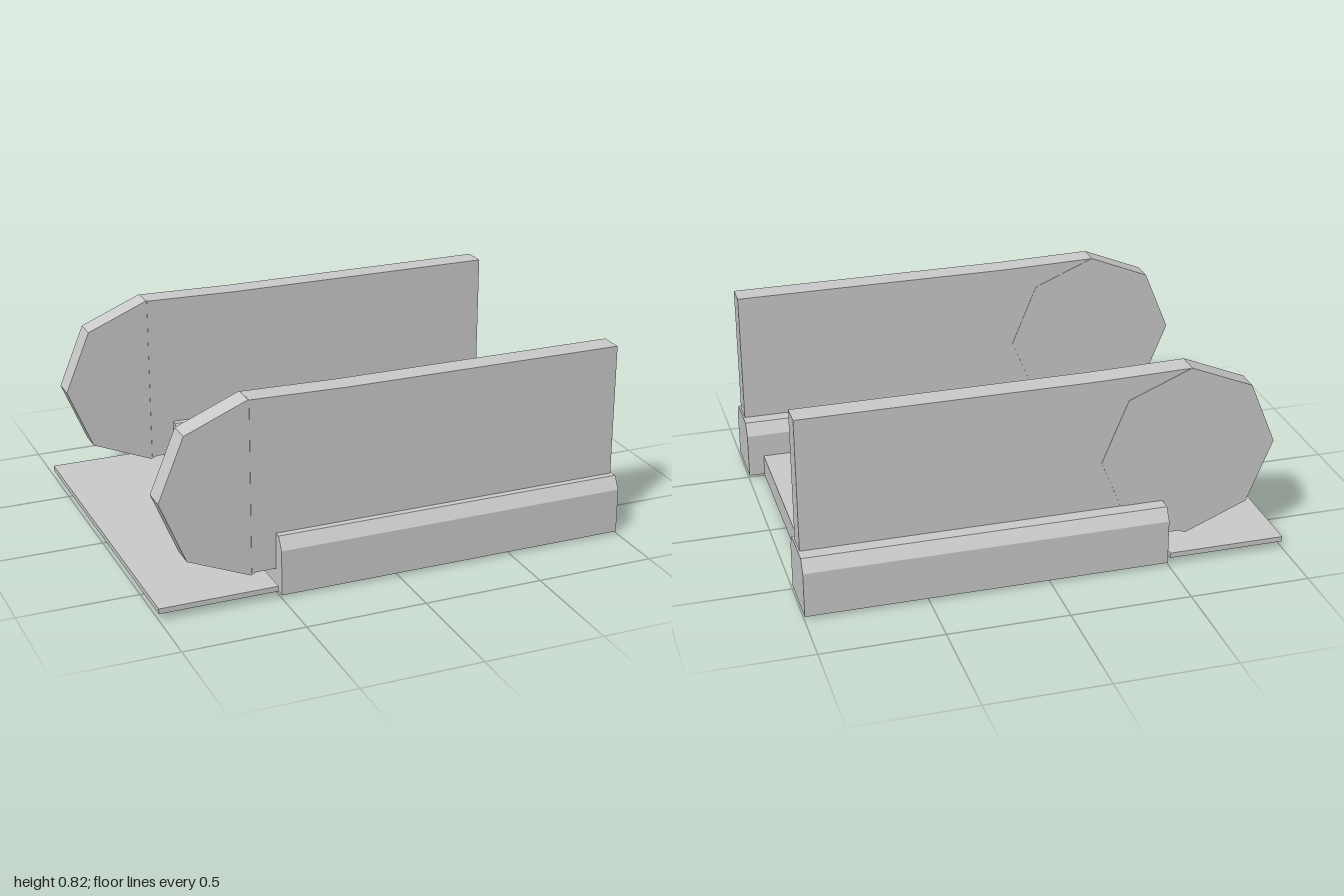
import * as THREE from 'three';

const material = new THREE.MeshStandardMaterial({ color: 0xcccccc, flatShading: true });

// Extrude an outline of [a, b] points along +z by depth
function prism(name, points, depth) {
  const shape = new THREE.Shape(points.map(([a, b]) => new THREE.Vector2(a, b)));
  const geometry = new THREE.ExtrudeGeometry(shape, { depth, bevelEnabled: false });
  const mesh = new THREE.Mesh(geometry, material);
  mesh.name = name;
  return mesh;
}

function box(name, x0, x1, y0, y1, z0, z1) {
  const mesh = new THREE.Mesh(new THREE.BoxGeometry(x1 - x0, y1 - y0, z1 - z0), material);
  mesh.position.set((x0 + x1) / 2, (y0 + y1) / 2, (z0 + z1) / 2);
  mesh.name = name;
  return mesh;
}

// One side: chamfered skirt, upright panel and its eight-sided rounded end
function createSide(name, z) {
  const side = new THREE.Group();
  side.name = name;

  const skirt = prism('skirt', [
    [-0.123, 0.01], [0.123, 0.01], [0.123, 0.2], [0.092, 0.252], [-0.092, 0.252], [-0.123, 0.2],
  ], 1.495);
  skirt.rotation.y = Math.PI / 2;
  skirt.position.set(-0.498, 0, 0);
  side.add(skirt);

  const panel = prism('panel', [
    [-0.6, 0.1], [0.99, 0.1], [0.99, 0.812], [-0.2, 0.815], [-0.6, 0.824],
  ], 0.098);
  panel.position.z = -0.034;
  side.add(panel);

  const end = new THREE.Mesh(new THREE.CylinderGeometry(0.368, 0.368, 0.098, 8), material);
  end.name = 'roundedEnd';
  end.rotation.x = Math.PI / 2;
  end.position.set(-0.603, 0.457, 0.013);
  side.add(end);

  side.position.z = z;
  return side;
}

export function createModel() {
  const model = new THREE.Group();
  model.name = 'walkway';

  // Upright sides share the same cross-section
  model.add(createSide('frontSide', 0.617), createSide('backSide', -0.617));

  // T-shaped landing plate, wide in front of the skirts and narrow between them
  const plate = prism('landingPlate', [
    [-1, -0.735], [-0.51, -0.735], [-0.51, -0.49], [0.18, -0.49],
    [0.18, 0.49], [-0.51, 0.49], [-0.51, 0.735], [-1, 0.735],
  ], 0.022);
  plate.rotation.x = -Math.PI / 2;
  plate.position.y = 0.028;
  model.add(plate);

  // Raised floor with a short ramp up from the plate
  const floor = prism('rampedFloor', [
    [0.18, 0.012], [0.58, 0.012], [0.58, 0.106], [0.18, 0.106], [0.13, 0.049], [0.18, 0.04],
  ], 0.99);
  floor.position.z = -0.495;
  model.add(floor);

  // Lower block at the far end of the floor
  model.add(box('endBlock', 0.54, 0.93, 0, 0.098, -0.535, 0.5));
  return model;
}
